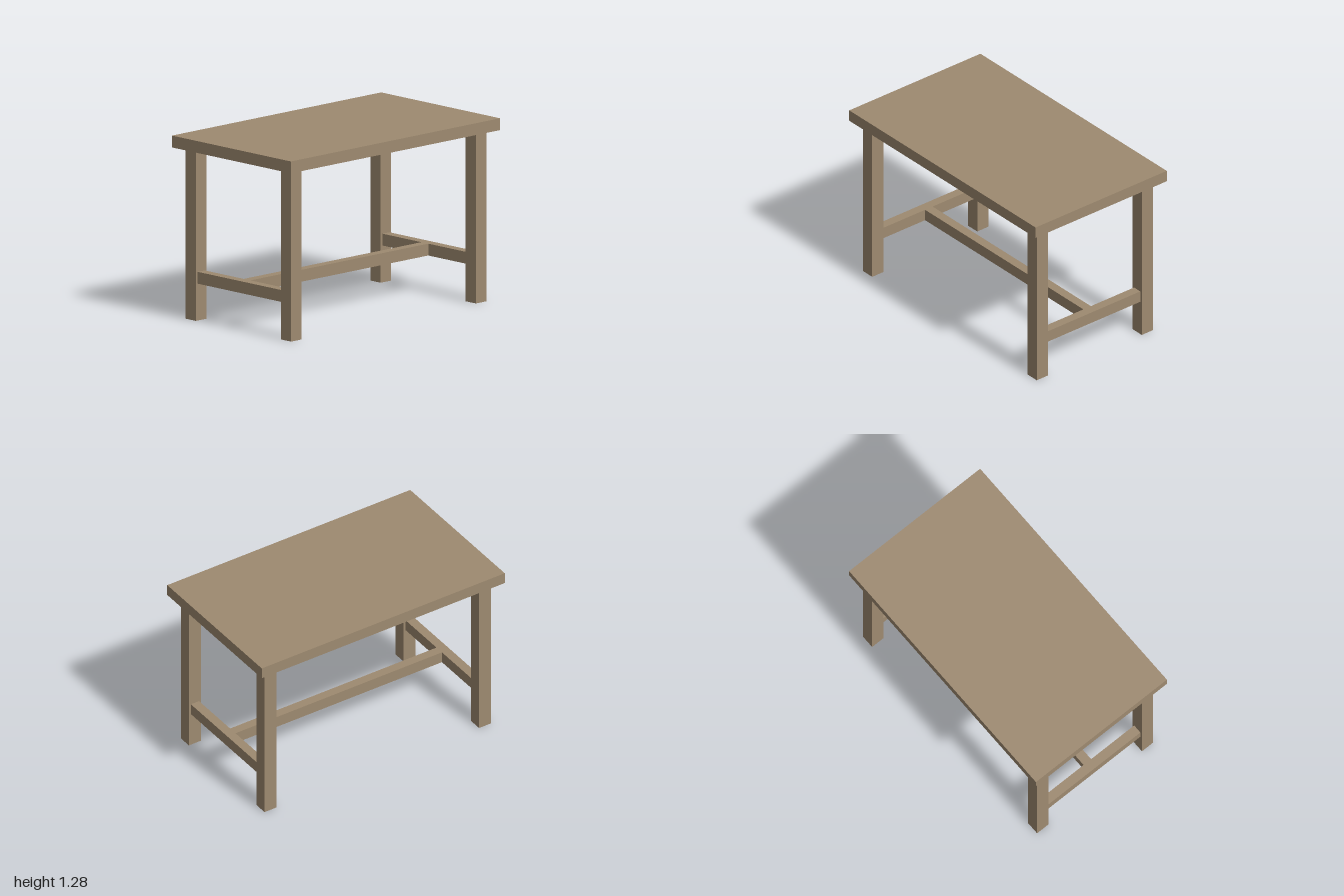
import * as THREE from 'three';

const wood = new THREE.MeshStandardMaterial({ color: 0x9e8a70 });

// Box given by its size and centre
function addBox(group, name, [w, h, d], [x, y, z]) {
  const mesh = new THREE.Mesh(new THREE.BoxGeometry(w, h, d), wood);
  mesh.name = name;
  mesh.position.set(x, y, z);
  group.add(mesh);
}

export function createModel() {
  const table = new THREE.Group();
  table.name = 'table';

  const legHeight = 1.2, legWidth = 0.1, legX = 0.883, legZ = 0.467;
  const topThickness = 0.083;
  const railHeight = 0.083, railWidth = 0.067, railY = 0.3;

  // Tabletop
  addBox(table, 'tabletop', [2, topThickness, 1.167], [0, legHeight + topThickness / 2, 0]);

  for (const [side, sx] of [['Left', 1], ['Right', -1]]) {
    // Front and back legs
    for (const [end, sz] of [['front', 1], ['back', -1]]) {
      addBox(table, `${end}${side}Leg`, [legWidth, legHeight, legWidth], [sx * legX, legHeight / 2, sz * legZ]);
    }
    // Side stretcher between the two legs
    addBox(table, `side${side}Stretcher`, [railWidth, railHeight, 2 * legZ - legWidth], [sx * legX, railY, 0]);
  }

  // Long stretcher joining the side stretchers
  addBox(table, 'longStretcher', [2 * legX - railWidth, railHeight, railWidth], [0, railY, 0]);

  return table;
}
